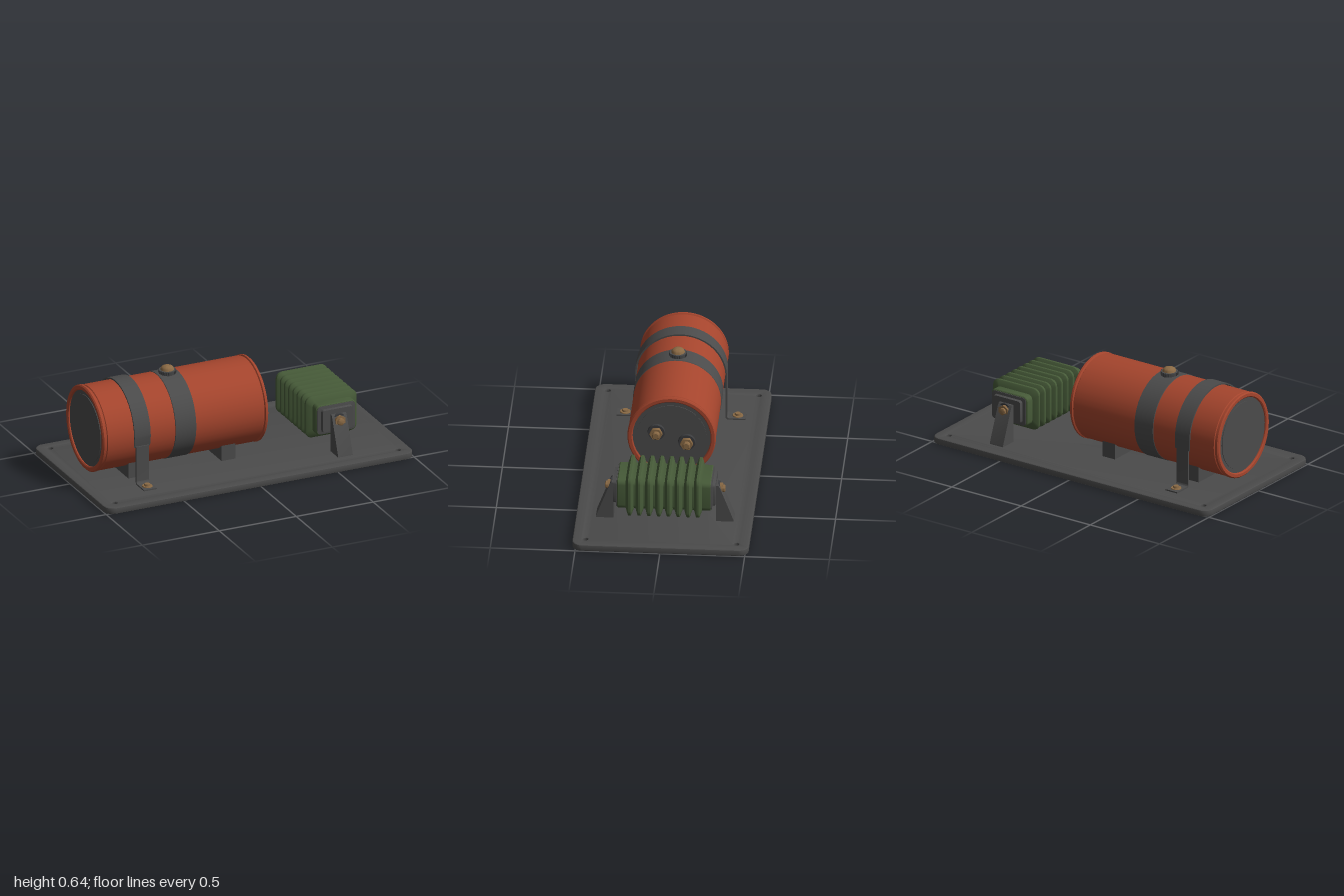
import * as THREE from 'three';
import { toCreasedNormals } from 'three/addons/utils/BufferGeometryUtils.js';

const mat = (name, color) => {
  const m = new THREE.MeshStandardMaterial({ color });
  m.name = name;
  return m;
};

export function createModel() {
  const root = new THREE.Group();
  root.name = 'tankAndFinnedCoreAssembly';
  const red = mat('red paint', 0xa5452d);
  const grey = mat('dark grey metal', 0x4b4b4b);
  const dark = mat('charcoal washer', 0x3a3b3d);
  const green = mat('green ceramic', 0x465a38);
  const brass = mat('brass', 0x8a6a45);

  const add = (name, geo, material, x = 0, y = 0, z = 0, parent = root) => {
    const m = new THREE.Mesh(geo, material);
    m.name = name;
    m.position.set(x, y, z);
    parent.add(m);
    return m;
  };
  const lathe = (pts, seg = 64) =>
    toCreasedNormals(new THREE.LatheGeometry(pts.map(p => new THREE.Vector2(...p)), seg), 0.6);

  // Extrudes a (z, y) outline along x, centred on x = 0
  const extrudeX = (shape, width) => {
    const g = new THREE.ExtrudeGeometry(shape, { depth: width, bevelEnabled: false, curveSegments: 32 });
    return toCreasedNormals(g.translate(0, 0, -width / 2).rotateY(-Math.PI / 2), 0.5);
  };

  // Rounded rectangle points, counter-clockwise
  const roundRect = (hx, hy, r, n = 5) => {
    const pts = [];
    [[1, 1], [-1, 1], [-1, -1], [1, -1]].forEach(([sx, sy], q) => {
      for (let i = 0; i <= n; i++) {
        const a = (q + i / n) * Math.PI / 2;
        pts.push(new THREE.Vector2(sx * (hx - r) + r * Math.cos(a), sy * (hy - r) + r * Math.sin(a)));
      }
    });
    return pts;
  };

  // Capped loft through rounded-rectangle rings [z, halfX, halfY, radius]
  const loft = rings => {
    const pos = [], idx = [];
    rings.forEach(([z, hx, hy, r]) => roundRect(hx, hy, r).forEach(p => pos.push(p.x, p.y, z)));
    const n = pos.length / 3 / rings.length;
    const c0 = pos.length / 3, last = (rings.length - 1) * n;
    pos.push(0, 0, rings[0][0], 0, 0, rings[rings.length - 1][0]);
    for (let j = 0; j < n; j++) {
      const k = (j + 1) % n;
      for (let i = 0; i < last; i += n) idx.push(i + j, i + k, i + n + k, i + j, i + n + k, i + n + j);
      idx.push(c0, k, j, c0 + 1, last + j, last + k);
    }
    const g = new THREE.BufferGeometry();
    g.setAttribute('position', new THREE.Float32BufferAttribute(pos, 3));
    g.setIndex(idx);
    return toCreasedNormals(g, 0.5);
  };

  // Washer, hex nut and domed stud, pointing along +y
  const fastener = (name, washerR, nutR, h) => {
    const g = new THREE.Group();
    g.name = name;
    add('washer', new THREE.CylinderGeometry(washerR * 0.94, washerR, h * 0.25, 32), dark, 0, h * 0.125, 0, g);
    add('hexNut', new THREE.CylinderGeometry(nutR, nutR, h * 0.4, 6), brass, 0, h * 0.45, 0, g);
    add('studTip', lathe([[nutR * 0.6, 0], [nutR * 0.6, h * 0.28], [nutR * 0.45, h * 0.36], [0, h * 0.36]], 24),
      brass, 0, h * 0.64, 0, g);
    root.add(g);
    return g;
  };

  // Base plate with four mounting holes
  const plate = new THREE.Shape(roundRect(1, 0.52, 0.06, 8));
  for (const x of [-0.92, 0.92]) for (const z of [-0.445, 0.445]) {
    plate.holes.push(new THREE.Path().absarc(x, z, 0.016, 0, Math.PI * 2, true));
  }
  const plateGeo = new THREE.ExtrudeGeometry(plate, {
    depth: 0.026, bevelThickness: 0.007, bevelSize: 0.007, bevelOffset: -0.007, bevelSegments: 3, curveSegments: 20,
  });
  add('basePlate', toCreasedNormals(plateGeo.rotateX(-Math.PI / 2), 0.5), grey, 0, 0.007, 0);

  // Horizontal drum with rolled rims
  const cy = 0.333, cz = -0.01, R = 0.258;
  const drum = new THREE.Group();
  drum.name = 'drum';
  drum.position.set(-0.364, cy, cz);
  drum.rotation.z = -Math.PI / 2;
  root.add(drum);
  const H = 0.537;
  const half = [[R, H - 0.032], [R - 0.005, H - 0.028], [R - 0.005, H - 0.023], [R + 0.003, H - 0.018],
    [R + 0.003, H - 0.007], [R - 0.004, H], [0.236, H], [0.23, H - 0.005], [0.23, H - 0.02]];
  const mirrored = half.map(([r, y]) => [r, -y]).reverse();
  add('drumShell', lathe([...mirrored, ...half], 96), red, 0, 0, 0, drum);
  add('drumBand', lathe([[R, -0.068], [R + 0.003, -0.066], [R + 0.003, 0.066], [R, 0.068]], 96), grey, 0, 0, 0, drum);
  for (const s of [-1, 1]) {
    add('drumEndDisc', new THREE.CylinderGeometry(0.231, 0.231, 0.01, 64), grey, 0, s * (H - 0.017), 0, drum);
    add('drumEndPanel', new THREE.CylinderGeometry(0.205, 0.205, 0.006, 64), grey, 0, s * (H - 0.011), 0, drum);
  }

  // Two terminals on the drum's end
  for (const s of [-1, 1]) {
    const t = fastener('drumTerminal', 0.052, 0.038, 0.062);
    t.position.set(0.165, cy + s * 0.03, cz + s * 0.09);
    t.rotation.z = -Math.PI / 2;
  }

  // Ribbed filler cap with brass dome
  add('fillerCollar', new THREE.CylinderGeometry(0.05, 0.05, 0.034, 32), grey, -0.364, 0.597, cz);
  for (let i = 0; i < 24; i++) {
    const a = i / 24 * Math.PI * 2;
    const rib = add('fillerRib', new THREE.BoxGeometry(0.006, 0.018, 0.006), dark,
      -0.364 + 0.05 * Math.cos(a), 0.603, cz + 0.05 * Math.sin(a));
    rib.rotation.y = -a;
  }
  add('fillerDome', lathe([[0.04, 0], [0.038, 0.01], [0.03, 0.019], [0.016, 0.025], [0, 0.026]], 32),
    brass, -0.364, 0.614, cz);

  // Cradles under the drum
  const cradle = new THREE.Shape();
  const ca = Math.asin(0.168 / R);
  cradle.moveTo(-0.168, 0.035 - cy);
  cradle.lineTo(0.168, 0.035 - cy);
  cradle.absarc(0, 0, R, -Math.PI / 2 + ca, -Math.PI / 2 - ca, true);
  for (const x of [-0.65, -0.045]) add('cradle', extrudeX(cradle, 0.09), grey, x, cy, cz);

  // Clamping strap: arch, two legs and bent feet
  const arch = new THREE.Shape();
  arch.moveTo(0.271, -0.06);
  arch.absarc(0, 0, 0.271, 0, Math.PI, false);
  arch.lineTo(-0.271, -0.06);
  arch.lineTo(-0.262, -0.06);
  arch.absarc(0, 0, 0.262, Math.PI, 0, true);
  arch.lineTo(0.262, -0.06);
  add('strapArch', extrudeX(arch, 0.104), grey, -0.65, cy, cz);
  for (const s of [-1, 1]) {
    const leg = new THREE.Shape();
    leg.moveTo(s * 0.262, 0.28);
    leg.lineTo(s * 0.262, 0.06);
    leg.quadraticCurveTo(s * 0.262, 0.039, s * 0.283, 0.039);
    leg.lineTo(s * 0.38, 0.039);
    leg.lineTo(s * 0.38, 0.048);
    leg.lineTo(s * 0.285, 0.048);
    leg.quadraticCurveTo(s * 0.271, 0.048, s * 0.271, 0.062);
    leg.lineTo(s * 0.271, 0.28);
    add('strapLeg', extrudeX(leg, 0.084), grey, -0.65, 0, cz);
    add('strapBoltWasher', new THREE.CylinderGeometry(0.03, 0.032, 0.006, 24), brass, -0.65, 0.05, cz + s * 0.332);
    add('strapBoltHead', new THREE.CylinderGeometry(0.018, 0.02, 0.012, 6), brass, -0.65, 0.058, cz + s * 0.332);
  }

  // Finned core: eight ribs lofted along z
  const ex = 0.6, ey = 0.236, ez = -0.004, pitch = 0.0575;
  const rings = [[-0.276, 0.125, 0.09, 0.025], [-0.271, 0.13, 0.095, 0.03], [-0.239, 0.13, 0.095, 0.03]];
  for (let i = 0; i < 8; i++) {
    const z = (i - 3.5) * pitch;
    rings.push([z - 0.024, 0.13, 0.095, 0.03], [z - 0.011, 0.161, 0.126, 0.038], [z - 0.007, 0.165, 0.13, 0.04],
      [z + 0.007, 0.165, 0.13, 0.04], [z + 0.011, 0.161, 0.126, 0.038], [z + 0.024, 0.13, 0.095, 0.03]);
  }
  rings.push([0.239, 0.13, 0.095, 0.03], [0.271, 0.13, 0.095, 0.03], [0.276, 0.125, 0.09, 0.025]);
  add('finnedCore', loft(rings), green, ex, ey, ez);

  // End plates, wedge brackets and axle nuts on both sides
  for (const s of [-1, 1]) {
    const end = add('coreEndPlate', loft([[0.27, 0.122, 0.088, 0.022], [0.281, 0.122, 0.088, 0.022],
      [0.284, 0.1, 0.072, 0.015], [0.302, 0.097, 0.069, 0.015]]), grey, ex, ey, ez);
    if (s < 0) end.rotation.y = Math.PI;
    const wedge = new THREE.Shape([[0.302, 0.035], [0.408, 0.035], [0.405, 0.05], [0.324, 0.262], [0.315, 0.275], [0.302, 0.275]]
      .map(([z, y]) => new THREE.Vector2(s * z, y)));
    add('coreBracket', extrudeX(wedge, 0.095), grey, ex, 0, ez);
    const nut = fastener('axleNut', 0.046, 0.036, 0.042);
    nut.position.set(ex, ey, ez + s * 0.312);
    nut.rotation.x = s * Math.PI / 2;
  }
  return root;
}
